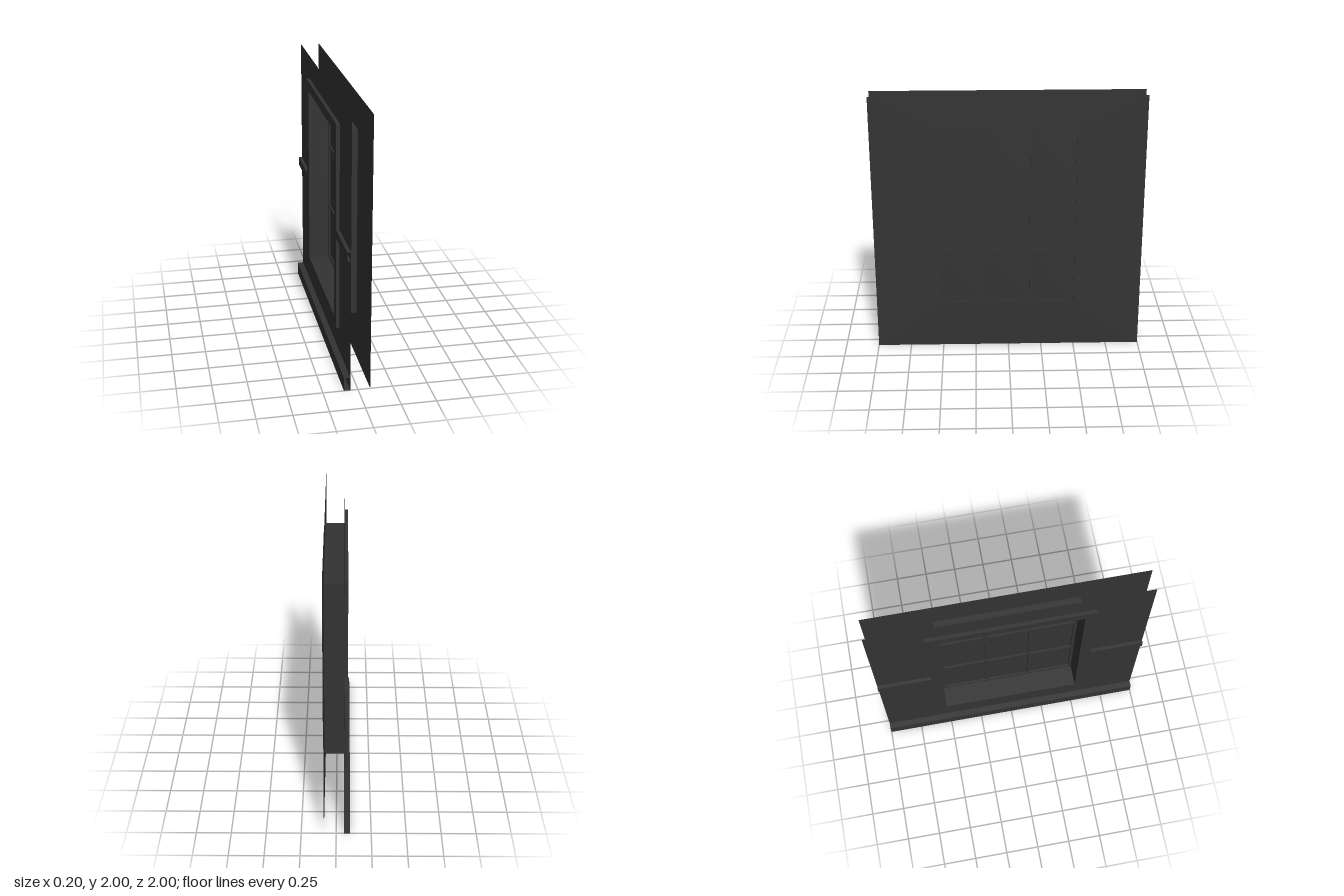
import * as THREE from 'three';
import { mergeGeometries } from 'three/addons/utils/BufferGeometryUtils.js';

const OUTER = 0.088, INNER = -0.055;            // x of the two wall skins
const OPENING = [-0.518, 0.518, 0.355, 1.748];  // z0, z1, y0, y1
const COLUMNS = [[-0.495, -0.173], [-0.158, 0.158], [0.173, 0.495]];
const ROWS = [[0.378, 0.792], [0.812, 1.295], [1.31, 1.724]];

// Four-cornered face, corners counter-clockwise
function quad(a, b, c, d) {
  const g = new THREE.BufferGeometry();
  g.setAttribute('position', new THREE.Float32BufferAttribute([...a, ...b, ...c, ...a, ...c, ...d], 3));
  g.computeVertexNormals();
  return g;
}

// Four sides of a rectangular opening between two depths (facing inward when xa < xb)
function reveal([z0, z1, y0, y1], xa, xb) {
  const p = [[y0, z0], [y0, z1], [y1, z1], [y1, z0]];
  return mergeGeometries(p.map((a, i) => {
    const b = p[(i + 1) % 4];
    return quad([xa, ...a], [xa, ...b], [xb, ...b], [xb, ...a]);
  }));
}

// Open-ended moulding: a shallow channel standing off the inner wall
function moulding(y0, y1, x, z0, z1) {
  const p = [[INNER, y0], [x, y0], [x, y1], [INNER, y1]];
  return mergeGeometries([0, 1, 2].map((i) =>
    quad([...p[i], z0], [...p[i], z1], [...p[i + 1], z1], [...p[i + 1], z0])));
}

// Flat sheet with rectangular holes, facing +x (side = 1) or -x (side = -1)
function sheet([z0, z1, y0, y1], holes, x, side) {
  const rect = (T, a, b, c, d) => {
    const s = new T();
    s.moveTo(a, c); s.lineTo(b, c); s.lineTo(b, d); s.lineTo(a, d); s.closePath();
    return s;
  };
  const shape = rect(THREE.Shape, z0, z1, y0, y1);
  for (const h of holes) shape.holes.push(rect(THREE.Path, ...h));
  const g = new THREE.ShapeGeometry(shape);
  g.rotateY(side * Math.PI / 2);
  g.translate(x, 0, 0);
  return g.toNonIndexed();
}

export function createModel() {
  const group = new THREE.Group();
  const material = new THREE.MeshStandardMaterial({ color: 0x333333, side: THREE.DoubleSide });
  const add = (name, geometry) => {
    const mesh = new THREE.Mesh(geometry, material);
    mesh.name = name;
    group.add(mesh);
  };

  // Wall skins and the deep window recess joining them
  const wall = [-1, 1, 0, 2];
  add('outerWall', sheet(wall, [OPENING], OUTER, 1));
  add('innerWall', sheet(wall, [OPENING], INNER, -1));
  add('windowRecess', reveal(OPENING, INNER, OUTER));

  // Window frame with glazing bars and nine panes
  const panes = ROWS.flatMap((r) => COLUMNS.map((c) => [...c, ...r]));
  add('frameFront', sheet(OPENING, panes, 0.1, 1));
  add('frameBack', sheet(OPENING, panes, 0.075, -1));
  panes.forEach((p, i) => {
    add(`glazingBarEdges${i + 1}`, reveal(p, 0.075, 0.1));
    add(`glassPane${i + 1}`, sheet(p, [], OUTER, 1));
  });

  // Casing around the window on the inner side
  const casing = [-0.6, 0.6, 0.283, 1.823];
  add('casingFace', sheet(casing, [OPENING], -0.08, -1));
  add('casingOuterEdge', reveal(casing, INNER, -0.08));
  add('casingInnerEdge', reveal(OPENING, -0.08, INNER));

  // Chair rail either side of the casing, and the baseboard
  add('chairRailRight', moulding(0.985, 1.05, -0.08, -1, -0.6));
  add('chairRailLeft', moulding(0.985, 1.05, -0.08, 0.6, 1));
  add('baseboard', moulding(0, 0.1, -0.1, -1, 1));
  return group;
}
